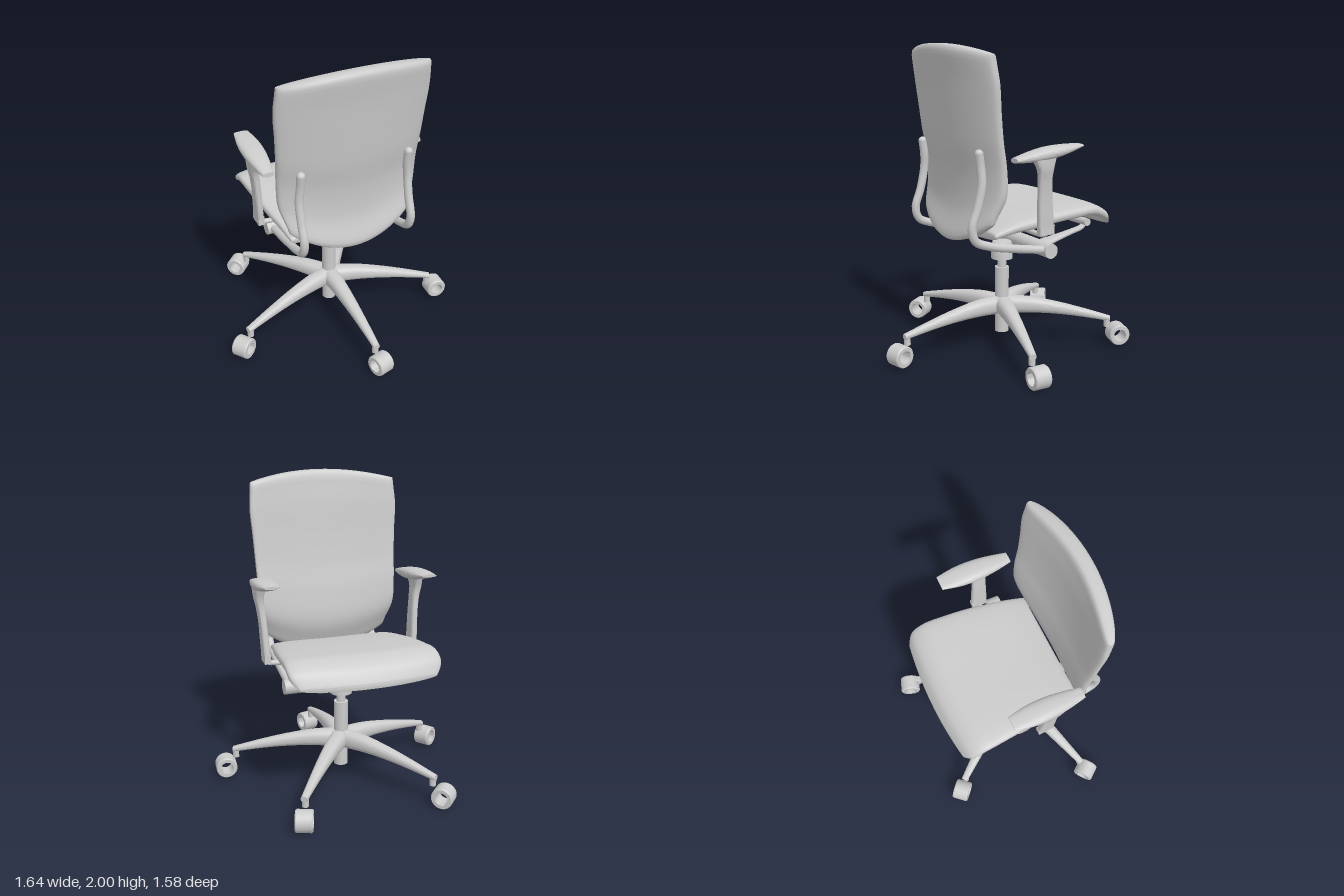
import * as THREE from 'three';
import { toCreasedNormals } from 'three/addons/utils/BufferGeometryUtils.js';

const grey = new THREE.MeshStandardMaterial({ color: 0xcccccc });
const CENTRE_Z = -0.065;

function add(parent, name, geometry, x = 0, y = 0, z = 0) {
  const mesh = new THREE.Mesh(geometry, grey);
  mesh.name = name;
  mesh.position.set(x, y, z);
  parent.add(mesh);
  return mesh;
}

// Smooth interpolation through evenly spaced rows of values
function table(rows) {
  const n = rows.length;
  return (s) => {
    const i = Math.min(Math.floor(s * (n - 1)), n - 2);
    const t = s * (n - 1) - i;
    const row = (j) => rows[Math.max(0, Math.min(n - 1, j))];
    return row(i).map((b, k) => {
      const a = row(i - 1)[k], c = row(i + 1)[k], d = row(i + 2)[k];
      return b + 0.5 * t * (c - a + t * (2 * a - 5 * b + 4 * c - d + t * (3 * (b - c) + d - a)));
    });
  };
}

// Closed loft: point(s, c, d) places section coordinates c, d in -1..1 at length s.
// 'round' is the length over which the ends thin down.
function loft(point, { steps = 24, sides = 32, power = 3, round = 0 } = {}) {
  const rows = [[0, 0]];
  for (const k of [0.6, 0.85]) if (round) rows.push([round * (k - 0.6), k]);
  for (let i = 0; i <= steps; i++) rows.push([round + (1 - 2 * round) * i / steps, 1]);
  for (const k of [0.85, 0.6]) if (round) rows.push([1 - round * (k - 0.6), k]);
  rows.push([1, 0]);
  const pos = [], index = [];
  rows.forEach(([s, k], i) => {
    for (let j = 0; j < sides; j++) {
      const a = j / sides * Math.PI * 2;
      const c = Math.cos(a);
      const d = Math.sign(Math.sin(a)) * Math.pow(Math.max(0, 1 - Math.abs(c) ** power), 1 / power);
      pos.push(...point(s, c, d * k));
      if (i === 0) continue;
      const p = (i - 1) * sides + j, q = (i - 1) * sides + (j + 1) % sides;
      index.push(p, p + sides, q, q, p + sides, q + sides);
    }
  });
  const geo = new THREE.BufferGeometry();
  geo.setAttribute('position', new THREE.Float32BufferAttribute(pos, 3));
  geo.setIndex(index);
  return toCreasedNormals(geo, 0.8);
}

// Loft running toward -z, from rows of [z, top, bottom, half width]
function beam(rows, options) {
  const at = table(rows);
  return loft((s, c, d) => {
    const [z, top, bottom, w] = at(s);
    return [w * c, (top + bottom) / 2 + d * (top - bottom) / 2, z];
  }, options);
}

function tube(points, radius) {
  const path = new THREE.CatmullRomCurve3(points.map((p) => new THREE.Vector3(...p)));
  return new THREE.TubeGeometry(path, 48, radius, 12);
}

function backrest() {
  // front z at the sides, thickness, half width, hollow at the middle
  const at = table([
    [0.225, 0.08, 0.42, 0.06], [0.165, 0.1, 0.465, 0.055], [0.172, 0.09, 0.475, 0.062],
    [0.2, 0.09, 0.482, 0.07], [0.22, 0.09, 0.49, 0.077], [0.235, 0.095, 0.5, 0.083],
    [0.255, 0.1, 0.488, 0.09],
  ]);
  return loft((s, c, d) => {
    const [front, thick, w, hollow] = at(s);
    const bottom = 0.78 + 0.16 * c * c, top = 2 - 0.06 * c * c;
    return [w * c, bottom + (top - bottom) * s, front + thick / 2 * (1 + d) + hollow * (1 - c * c)];
  }, { steps: 36, sides: 64, power: 3.5, round: 0.03 });
}

function seat() {
  const at = table([
    [0.235, 0.885, 0.82, 0.395], [0.1, 0.935, 0.845, 0.42], [-0.05, 0.965, 0.86, 0.445],
    [-0.2, 0.985, 0.885, 0.465], [-0.35, 0.998, 0.9, 0.478], [-0.47, 1, 0.905, 0.485],
    [-0.565, 0.955, 0.865, 0.478], [-0.615, 0.87, 0.835, 0.43],
  ]);
  return loft((s, c, d) => {
    const [z, top, bottom, w] = at(s);
    const mid = 1 - c * c;
    // hollow under the pan, inside a rim
    const recess = d < 0 && Math.abs(c) < 0.87 && s > 0.1 && s < 0.88 ? 0.03 : 0;
    return [w * c, (top + bottom) / 2 + d * (top - bottom) / 2 - 0.012 * mid + recess, z - 0.035 * s * mid];
  }, { steps: 36, sides: 64, power: 3.5, round: 0.02 });
}

function armrest(side) {
  const group = new THREE.Group();
  group.name = side > 0 ? 'leftArmrest' : 'rightArmrest';
  add(group, 'armPad', beam([
    [0.175, 1.345, 1.315, 0.036], [0.06, 1.375, 1.312, 0.057], [-0.06, 1.396, 1.32, 0.07],
    [-0.18, 1.402, 1.345, 0.068], [-0.3, 1.4, 1.382, 0.048],
  ], { power: 2.5 }), side * 0.504);
  // y, centre z, half depth, centre x, half thickness
  const at = table([
    [0.905, -0.058, 0.055, 0.5, 0.022], [1.0, -0.05, 0.052, 0.505, 0.022],
    [1.1, -0.043, 0.048, 0.51, 0.022], [1.2, -0.035, 0.046, 0.52, 0.024],
    [1.27, -0.03, 0.055, 0.53, 0.028], [1.34, -0.02, 0.085, 0.525, 0.035],
  ]);
  add(group, 'armPost', loft((s, c, d) => {
    const [y, z, hz, x, hx] = at(s);
    return [side * x + hx * c, y, z + hz * d];
  }, { power: 4 }));
  add(group, 'armSocket', new THREE.BoxGeometry(0.04, 0.06, 0.105), side * 0.498, 0.885, -0.062);
  add(group, 'armBracket', tube([
    [side * 0.498, 0.885, -0.062], [side * 0.485, 0.853, -0.062],
    [side * 0.45, 0.845, -0.062], [side * 0.24, 0.845, -0.062],
  ], 0.017));
  return group;
}

// Hollow wheel, its axis along x
function wheelGeometry() {
  const profile = [[0.042, -0.054], [0.064, -0.054], [0.07, -0.046], [0.07, 0.046],
    [0.064, 0.054], [0.042, 0.054], [0.042, -0.054]].map((p) => new THREE.Vector2(...p));
  return toCreasedNormals(new THREE.LatheGeometry(profile, 32).rotateZ(Math.PI / 2), 0.6);
}

function base() {
  const group = new THREE.Group();
  group.name = 'base';
  const cylinder = (name, r, y0, y1) =>
    add(group, name, new THREE.CylinderGeometry(r, r, y1 - y0, 32), 0, (y0 + y1) / 2, CENTRE_Z);
  cylinder('column', 0.047, 0.08, 0.53);
  cylinder('piston', 0.03, 0.5, 0.62);
  cylinder('hub', 0.07, 0.21, 0.322);
  const leg = beam([
    [0, 0.33, 0.205, 0.062], [-0.18, 0.322, 0.213, 0.052], [-0.36, 0.292, 0.208, 0.042],
    [-0.54, 0.25, 0.19, 0.032], [-0.73, 0.198, 0.162, 0.022],
  ], { power: 2.4 });
  const wheel = wheelGeometry();
  // wheel x, z and heading, going round from the leg at +z
  const wheels = [[0.013, 0.705, 0.26], [0.745, 0.155, 1.5], [0.445, -0.71, -0.35],
    [-0.468, -0.698, 0.82], [-0.736, 0.18, -0.93]];
  wheels.forEach(([x, z, heading], i) => {
    const angle = i * Math.PI * 2 / 5;
    add(group, 'leg', leg, 0, 0, CENTRE_Z).rotation.y = angle + Math.PI;
    add(group, 'casterStem', new THREE.CylinderGeometry(0.021, 0.021, 0.06, 16),
      0.71 * Math.sin(angle), 0.155, CENTRE_Z + 0.71 * Math.cos(angle));
    add(group, 'casterWheel', wheel, x, 0.07, z).rotation.y = heading;
  });
  return group;
}

function mechanism() {
  const group = new THREE.Group();
  group.name = 'mechanism';
  const cup = [[0, 0.59], [0.073, 0.59], [0.073, 0.68], [0.062, 0.706], [0, 0.712]];
  add(group, 'columnCup', toCreasedNormals(
    new THREE.LatheGeometry(cup.map((p) => new THREE.Vector2(...p)), 32), 0.6), 0, 0, CENTRE_Z);
  const bar = (name, r, length, y, z) =>
    add(group, name, new THREE.CylinderGeometry(r, r, length, 24).rotateZ(Math.PI / 2), 0, y, z);
  bar('crossBar', 0.048, 0.83, 0.713, -0.17);
  bar('frontRod', 0.025, 0.62, 0.835, -0.54);
  for (const side of [-1, 1]) {
    add(group, 'seatStrut', beam([
      [-0.17, 0.745, 0.695, 0.065], [-0.29, 0.765, 0.732, 0.045],
      [-0.42, 0.79, 0.76, 0.028], [-0.51, 0.81, 0.78, 0.022], [-0.55, 0.84, 0.812, 0.022],
    ]), side * 0.27);
    // Bent arm that carries the backrest
    const x = side * 0.37, tip = side * 0.36;
    add(group, 'backArm', tube([
      [x, 0.715, -0.16], [x, 0.757, 0.08], [x, 0.8, 0.27], [x, 0.842, 0.36], [x, 0.92, 0.383],
      [x, 1.04, 0.345], [x, 1.18, 0.315], [tip, 1.29, 0.318], [tip, 1.365, 0.328],
    ], 0.027));
    add(group, 'backArmTip', new THREE.SphereGeometry(0.027, 16, 12), tip, 1.365, 0.328);
  }
  return group;
}

export function createModel() {
  const chair = new THREE.Group();
  chair.name = 'officeChair';
  add(chair, 'backrest', backrest());
  add(chair, 'seat', seat());
  chair.add(mechanism(), base(), armrest(1), armrest(-1));
  return chair;
}
